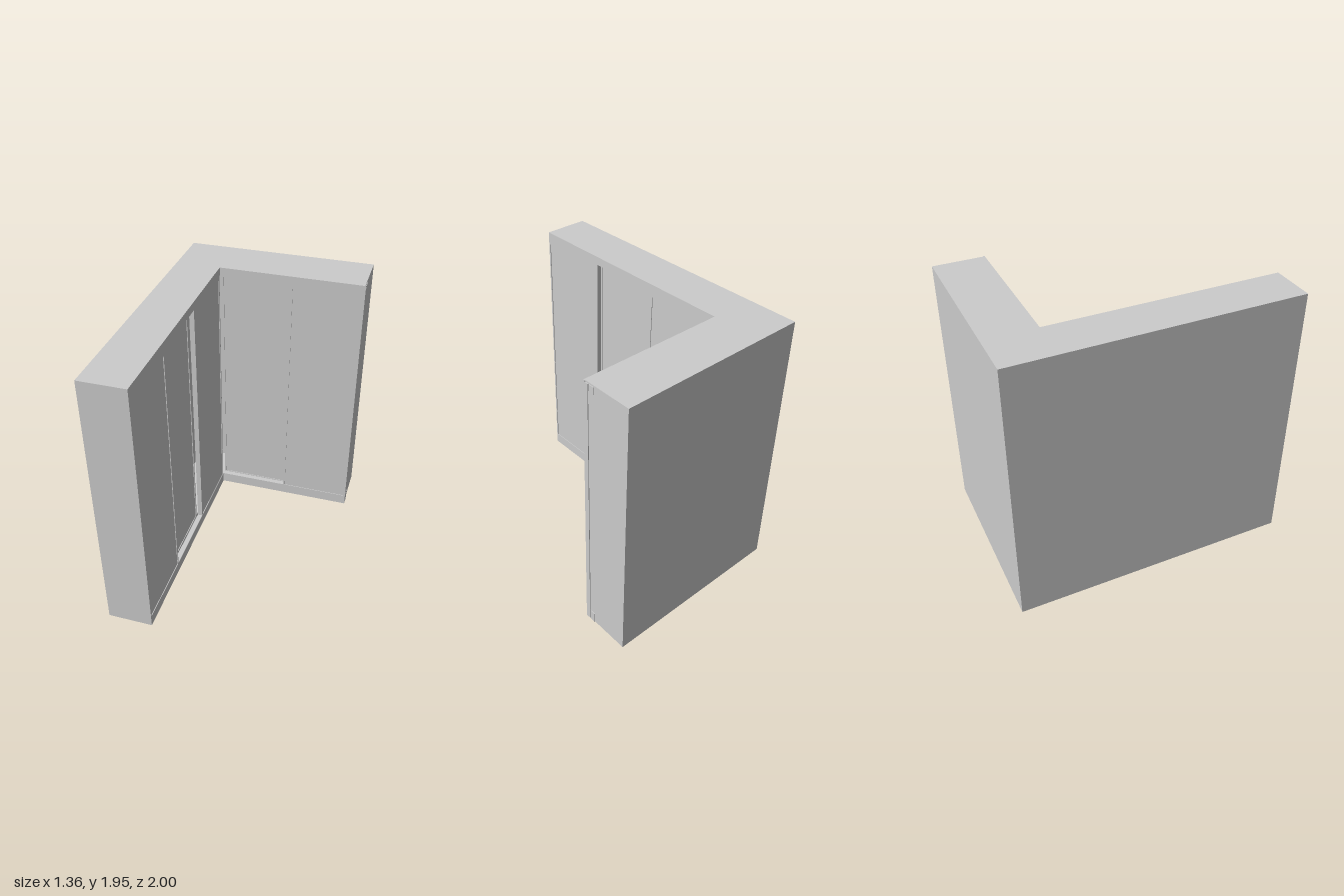
import * as THREE from 'three';

const H = 1.95, SILL = 0.08, HEAD = 1.89, RECESS = 0.045, T = 0.01;
const grey = new THREE.MeshStandardMaterial({ color: 0xcccccc });
const pale = new THREE.MeshStandardMaterial({ color: 0xf0f0f0 });

// Box given by its limits on each axis
function box(parent, name, x0, x1, y0, y1, z0, z1, material = grey) {
  const mesh = new THREE.Mesh(new THREE.BoxGeometry(x1 - x0, y1 - y0, z1 - z0), material);
  mesh.position.set((x0 + x1) / 2, (y0 + y1) / 2, (z0 + z1) / 2);
  mesh.name = name;
  parent.add(mesh);
  return mesh;
}

// Sliding door: slim frame around a slightly sunk panel, front at local z = front
function slidingDoor(x0, x1, front) {
  const door = new THREE.Group();
  door.name = 'slidingDoor';
  const back = front - 0.035, stile = 0.013, top = HEAD - 0.03;
  box(door, 'leftStile', x0, x0 + stile, SILL, HEAD, back, front);
  box(door, 'rightStile', x1 - stile, x1, SILL, HEAD, back, front);
  box(door, 'topRail', x0 + stile, x1 - stile, top, HEAD, back, front);
  box(door, 'doorPanel', x0 + stile, x1 - stile, SILL, top, back + 0.012, front - 0.005, pale);
  return door;
}

// Row of sliding doors in double tracks; local x along the row, front plane z = 0
function doorFront(name, x0, x1, doors) {
  const front = new THREE.Group();
  front.name = name;
  for (const [a, b, recessed] of doors) front.add(slidingDoor(a, b, recessed ? -RECESS : 0));
  for (const z of [0, -RECESS]) {
    box(front, 'bottomTrack', x0, x1, 0, SILL, z - 0.037, z);
    box(front, 'topTrack', x0, x1, HEAD, H - T, z - 0.037, z);
  }
  box(front, 'headerFascia', x0, x1, HEAD, H, -0.012, 0);
  return front;
}

export function createModel() {
  const model = new THREE.Group();
  model.name = 'cornerWardrobe';

  // L-shaped top
  const plan = new THREE.Shape([
    [-0.68, -1], [-0.36, -1], [-0.36, 0.64], [0.675, 0.64], [0.675, 1], [-0.68, 1],
  ].map(([x, y]) => new THREE.Vector2(x, y)));
  const top = new THREE.Mesh(new THREE.ExtrudeGeometry(plan, { depth: T, bevelEnabled: false }), grey);
  top.rotation.x = -Math.PI / 2;
  top.position.y = H - T;
  top.name = 'topPanel';
  model.add(top);

  // Carcass walls; only the long wing has a floor
  box(model, 'longBackWall', -0.68, -0.68 + T, 0, H - T, -1, 1);
  box(model, 'shortBackWall', -0.68 + T, 0.675, 0, H - T, -1, -1 + T);
  box(model, 'longEndWall', -0.68 + T, -0.36, 0, H - T, 1 - T, 1);
  box(model, 'shortEndWall', 0.675 - T, 0.675, 0, H - T, -1 + T, -0.64);
  box(model, 'longFloor', -0.68 + T, -0.36, 0, T, -1 + T, 1 - T);
  box(model, 'cornerPartition', -0.37, -0.36, T, H - T, -1 + T, -0.73);

  // Two-door front of the short wing
  const shortFront = doorFront('shortFront', -0.36, 0.68, [
    [-0.36, 0.16, true],
    [0.16, 0.68, false],
  ]);
  shortFront.position.z = -0.64;
  model.add(shortFront);

  // Three-door front of the long wing, turned to face +x
  const longFront = doorFront('longFront', -1, 0.64, [
    [-1, -0.455, false],
    [-0.465, 0.08, true],
    [0.085, 0.63, false],
  ]);
  longFront.rotation.y = Math.PI / 2;
  longFront.position.x = -0.36;
  model.add(longFront);

  return model;
}
